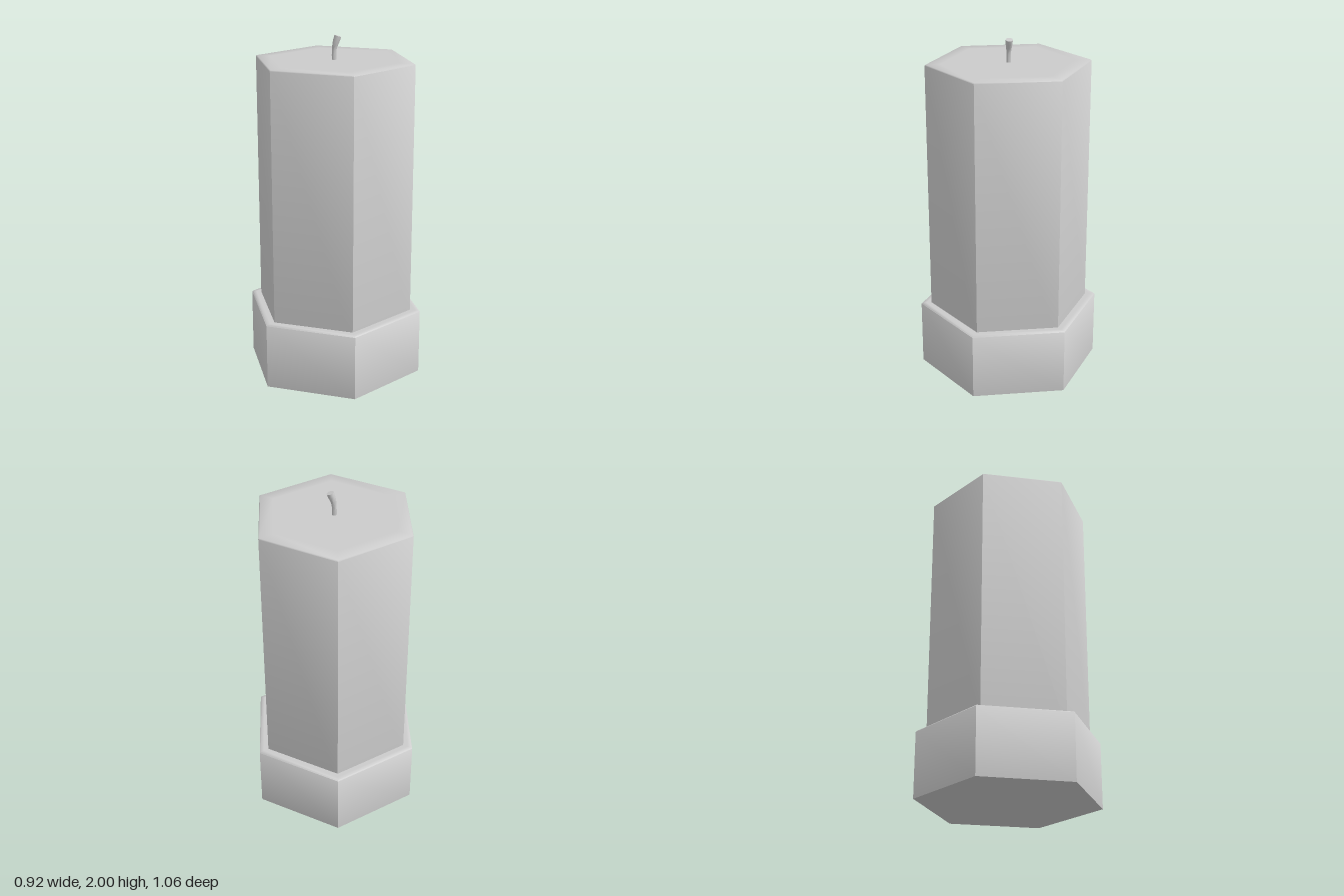
import * as THREE from 'three';
import { toCreasedNormals } from 'three/addons/utils/BufferGeometryUtils.js';

const material = new THREE.MeshStandardMaterial({ color: 0xcccccc });

// Six-sided prism with a small softened top rim, corners on the z axis
function hexPrism(name, radius, bottom, top, bevel, inset) {
  const profile = [
    [0, bottom],
    [radius, bottom],
    [radius, top - bevel],
    [radius - bevel, top],
    [radius - inset, top],
    [0, top],
  ].map(([r, y]) => new THREE.Vector2(r, y));
  const geometry = toCreasedNormals(new THREE.LatheGeometry(profile, 6), THREE.MathUtils.degToRad(50));
  const mesh = new THREE.Mesh(geometry, material);
  mesh.name = name;
  return mesh;
}

// Bent wick: a cylinder whose rings follow a curve and widen to the tip
function wick() {
  const path = new THREE.CatmullRomCurve3([
    new THREE.Vector3(0, 1.84, 0),
    new THREE.Vector3(0, 1.9, 0),
    new THREE.Vector3(0.005, 1.94, 0),
    new THREE.Vector3(0.022, 1.992, 0),
  ]);
  const geometry = new THREE.CylinderGeometry(1, 1, 1, 16, 12);
  const pos = geometry.attributes.position;
  for (let i = 0; i < pos.count; i++) {
    const t = THREE.MathUtils.clamp(pos.getY(i) + 0.5, 0, 1);
    const centre = path.getPoint(t);
    const tangent = path.getTangent(t);
    const r = 0.013 + 0.007 * THREE.MathUtils.smoothstep(t, 0.45, 0.95);
    const across = pos.getX(i) * r;
    pos.setXYZ(i, centre.x + across * tangent.y, centre.y - across * tangent.x, pos.getZ(i) * r);
  }
  const mesh = new THREE.Mesh(toCreasedNormals(geometry, THREE.MathUtils.degToRad(40)), material);
  mesh.name = 'wick';
  return mesh;
}

export function createModel() {
  const candle = new THREE.Group();
  candle.name = 'candle';
  candle.add(
    hexPrism('base', 0.53, 0, 0.39, 0.006, 0.03),
    hexPrism('waxBody', 0.47, 0.3, 1.86, 0.006, 0.09),
    wick(),
  );
  return candle;
}
